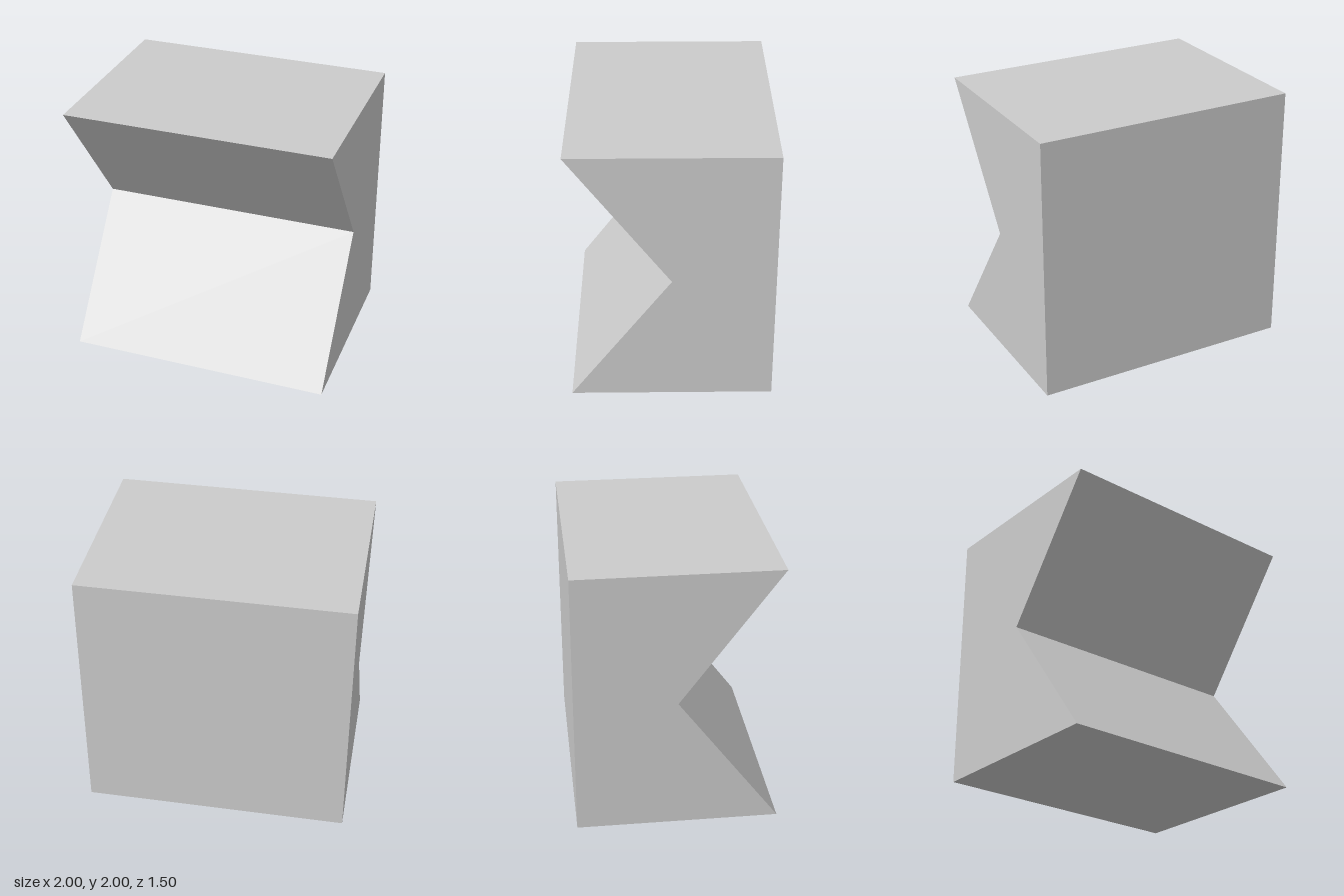
import * as THREE from 'three';

export function createModel() {
  const group = new THREE.Group();
  group.name = 'notchedBlock';

  // Side profile (z, y): a rectangle with a V-shaped notch in its front
  const profile = new THREE.Shape([
    [-0.75, 0], [0.75, 0], [0, 1], [0.75, 2], [-0.75, 2],
  ].map(([z, y]) => new THREE.Vector2(z, y)));

  // Extrude across the width, then turn the profile to face +z
  const width = 2;
  const geometry = new THREE.ExtrudeGeometry(profile, { depth: width, bevelEnabled: false });
  geometry.translate(0, 0, -width / 2);
  geometry.rotateY(-Math.PI / 2);

  const material = new THREE.MeshStandardMaterial({ color: 0xcccccc, flatShading: true });
  const block = new THREE.Mesh(geometry, material);
  block.name = 'block';
  group.add(block);

  return group;
}
